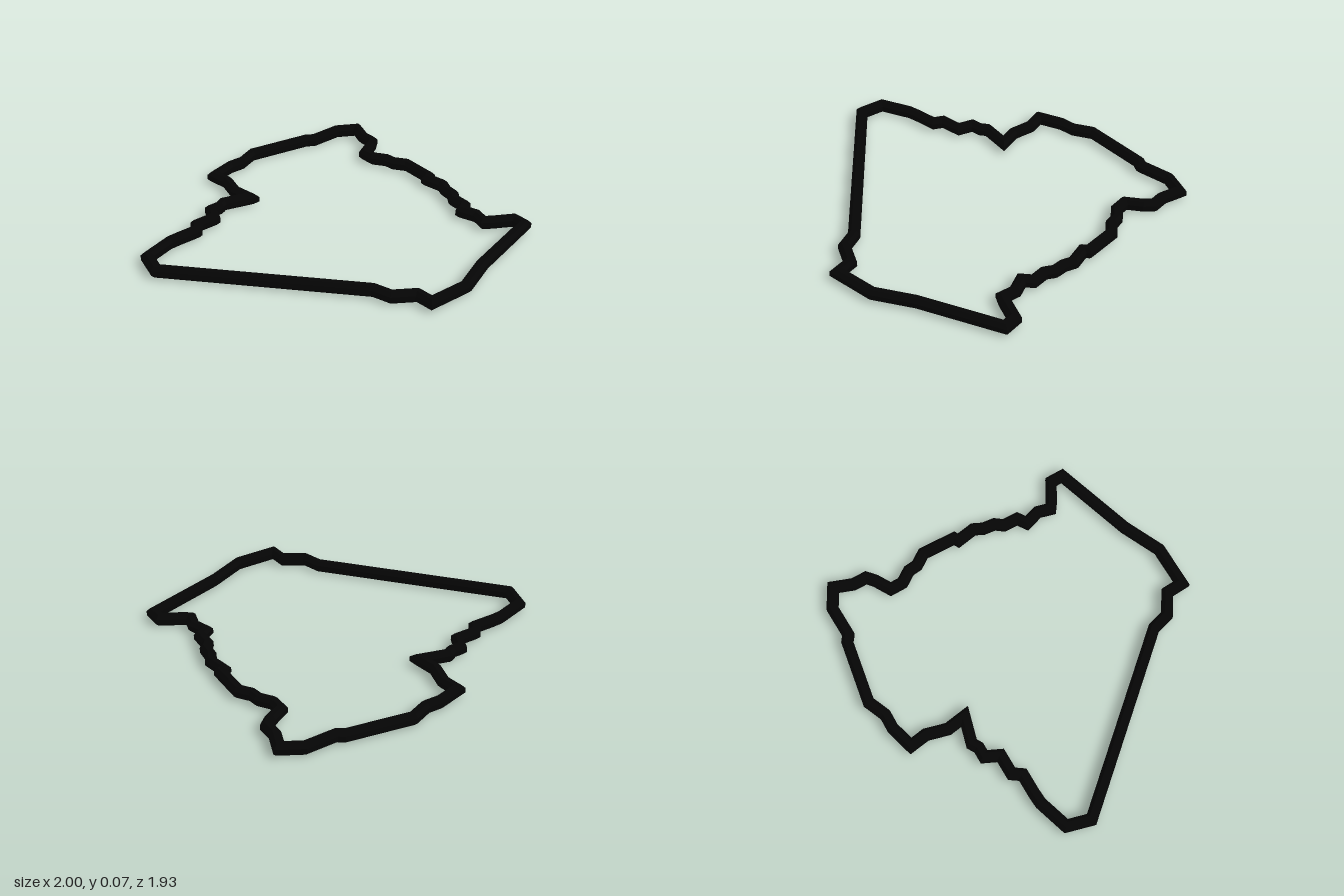
import * as THREE from 'three';

// Centre line of the border in plan, as [x, z], clockwise seen from above
const OUTLINE = [
  [-.35, -.71], [-.23, -.78], [-.15, -.8], [-.06, -.87], [.3, -.905], [.34, -.89], [.51, -.94], [.63, -.91],
  [.62, -.8], [.64, -.725], [.61, -.68], [.54, -.61], [.56, -.54], [.62, -.49], [.64, -.44], [.7, -.39],
  [.745, -.205], [.725, -.185], [.77, -.09], [.76, -.035], [.77, .03], [.75, .08], [.77, .16], [.73, .205],
  [.78, .28], [.78, .355], [.82, .37], [.94, .4], [.96, .47], [.565, .72], [.39, .865], [.165, .925],
  [.135, .835], [.01, .795], [-.045, .705], [-.97, .095], [-.97, -.04], [-.82, -.135], [-.76, -.155],
  [-.65, -.185], [-.63, -.24], [-.52, -.27], [-.505, -.355], [-.45, -.37], [-.42, -.4], [-.265, -.4],
  [-.31, -.5], [-.31, -.62],
];
const SIDES = 8;
const HALF_WIDTH = 0.031;
const HALF_HEIGHT = 0.033;

// Closed octagonal bar swept along the outline with mitred corners
function mitredLoop(outline) {
  const points = outline.map(([x, z]) => new THREE.Vector2(x, z));
  const count = points.length;
  const outward = points.map((p, i) => {
    const d = points[(i + 1) % count].clone().sub(p).normalize();
    return new THREE.Vector2(d.y, -d.x);
  });
  const positions = [];
  const indices = [];
  const stretch = 1 / Math.cos(Math.PI / SIDES); // flats, not corners, reach the half sizes
  points.forEach((p, i) => {
    const before = outward[(i + count - 1) % count];
    const after = outward[i];
    const miter = before.clone().add(after).divideScalar(Math.max(0.5, 1 + before.dot(after)));
    for (let j = 0; j < SIDES; j++) {
      const angle = ((j + 0.5) / SIDES) * Math.PI * 2;
      const out = Math.cos(angle) * HALF_WIDTH * stretch;
      const up = Math.sin(angle) * HALF_HEIGHT * stretch;
      positions.push(p.x + miter.x * out, HALF_HEIGHT + up, p.y + miter.y * out);
      const a = i * SIDES + j;
      const c = i * SIDES + ((j + 1) % SIDES);
      const b = ((i + 1) % count) * SIDES + j;
      const d = ((i + 1) % count) * SIDES + ((j + 1) % SIDES);
      indices.push(a, c, b, b, c, d);
    }
  });
  const geometry = new THREE.BufferGeometry();
  geometry.setAttribute('position', new THREE.Float32BufferAttribute(positions, 3));
  geometry.setIndex(indices);
  geometry.computeVertexNormals();
  return geometry;
}

export function createModel() {
  const group = new THREE.Group();
  group.name = 'borderOutline';
  const material = new THREE.MeshStandardMaterial({ color: 0x050505, flatShading: true });
  const border = new THREE.Mesh(mitredLoop(OUTLINE), material);
  border.name = 'border';
  group.add(border);
  return group;
}
